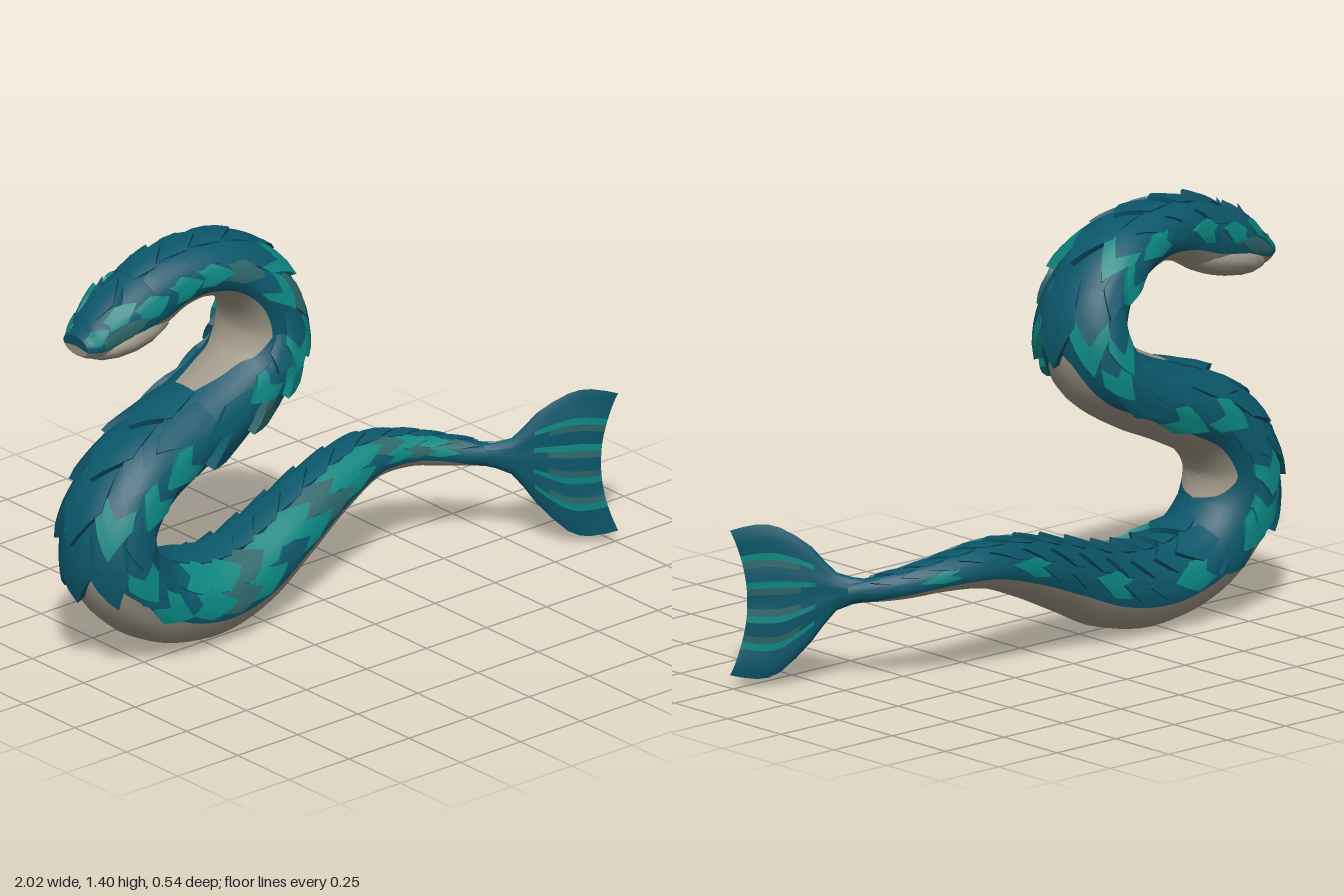
import * as THREE from 'three';
import { toCreasedNormals } from 'three/addons/utils/BufferGeometryUtils.js';

const flat = (name, color) => {
  const m = new THREE.MeshStandardMaterial({ color });
  m.name = name;
  return m;
};
const clamp = THREE.MathUtils.clamp, lerp = THREE.MathUtils.lerp, rad = Math.PI / 180;

// Spine stations from snout to tail: x, y, z, half height, half width
const stations = [
  [-0.99, 1.15, -0.05, 0.035, 0.06], [-0.95, 1.155, -0.05, 0.06, 0.085],
  [-0.85, 1.195, -0.05, 0.092, 0.11], [-0.73, 1.235, -0.05, 0.112, 0.12],
  [-0.62, 1.275, -0.05, 0.102, 0.12], [-0.5, 1.285, -0.05, 0.095, 0.127],
  [-0.36, 1.245, -0.055, 0.103, 0.143], [-0.255, 1.15, -0.055, 0.11, 0.155],
  [-0.215, 1.02, -0.06, 0.115, 0.165], [-0.26, 0.89, -0.06, 0.123, 0.168],
  [-0.39, 0.8, -0.06, 0.128, 0.165], [-0.58, 0.715, -0.06, 0.13, 0.165],
  [-0.75, 0.62, -0.055, 0.133, 0.163], [-0.84, 0.48, -0.055, 0.138, 0.162],
  [-0.82, 0.33, -0.055, 0.142, 0.162], [-0.7, 0.205, -0.055, 0.14, 0.162],
  [-0.5, 0.142, -0.055, 0.138, 0.158], [-0.3, 0.16, -0.065, 0.128, 0.145],
  [-0.1, 0.235, -0.09, 0.112, 0.122], [0.1, 0.31, -0.125, 0.095, 0.102],
  [0.3, 0.36, -0.15, 0.072, 0.085], [0.45, 0.355, -0.125, 0.056, 0.065],
  [0.58, 0.33, -0.065, 0.046, 0.048], [0.71, 0.31, 0.03, 0.035, 0.028],
];
const LAST = stations.length - 1;
const spine = new THREE.CatmullRomCurve3(stations.map(p => new THREE.Vector3(p[0], p[1], p[2])));
const sizes = new THREE.CatmullRomCurve3(stations.map(p => new THREE.Vector3(p[3], p[4], 0)), false, 'catmullrom', 0.5);

// Point on the skin at station s and angle phi, raised by lift times the half height
function skin(s, phi, lift = 0, shrink = 1) {
  const t = clamp(s / LAST, 0, 1);
  const c = spine.getPoint(t), T = spine.getTangent(t), size = sizes.getPoint(t);
  const B = new THREE.Vector3(0, 0, 1).addScaledVector(T, -T.z).normalize();
  const N = new THREE.Vector3().crossVectors(B, T);
  const up = lift * size.x;
  return c.addScaledVector(N, (size.x + up) * Math.cos(phi) * shrink)
    .addScaledVector(B, (size.y + up) * Math.sin(phi) * shrink);
}

// Grid surface from a function of grid indices; keep() picks its cells
function sheet(name, mat, nu, nv, fn, keep = () => true) {
  const P = [], pos = [];
  for (let i = 0; i <= nu; i++) {
    P.push([]);
    for (let j = 0; j <= nv; j++) P[i].push(fn(i, j));
  }
  const tri = (a, b, c) => {
    const n = b.clone().sub(a).cross(c.clone().sub(a));
    if (n.length() > 1e-9) for (const p of [a, b, c]) pos.push(p.x, p.y, p.z);
  };
  for (let i = 0; i < nu; i++) for (let j = 0; j < nv; j++) {
    if (!keep(i, j)) continue;
    tri(P[i][j], P[i][j + 1], P[i + 1][j]);
    tri(P[i][j + 1], P[i + 1][j + 1], P[i + 1][j]);
  }
  const g = new THREE.BufferGeometry();
  g.setAttribute('position', new THREE.Float32BufferAttribute(pos, 3));
  const mesh = new THREE.Mesh(toCreasedNormals(g, 0.6), mat);
  mesh.name = name;
  return mesh;
}

// Half widths of the pale belly bands on the two sides of the spine
const fadeIn = (s, a, len) => Math.sqrt(clamp((s - a) / len, 0, 1));
const fadeOut = (s, b, len) => Math.sqrt(clamp((b - s) / len, 0, 1));
const bandA = s => 54 * rad * fadeIn(s, 8.2, 1.7) * fadeOut(s, 14.1, 1);
const bandB = s => s < 12
  ? (lerp(76, 56, clamp((s - 2) / 3, 0, 1)) - 28 * clamp((s - 8) / 1.5, 0, 1)) * rad * fadeOut(s, 10.9, 1.2)
  : lerp(77, 62, clamp((s - 15) / 7, 0, 1)) * rad * fadeIn(s, 13.3, 1.2) * fadeOut(s, 22.9, 1);

export function createModel() {
  const dark = flat('deep teal', 0x0b566a), bright = flat('bright teal', 0x0b8580);
  const grey = flat('grey teal', 0x2d6568), pale = flat('pale belly', 0xa09888);
  const model = new THREE.Group();
  model.name = 'seaSerpent';

  // Body: four lengthwise strips, two pale bands and two teal flanks
  const body = new THREE.Group();
  body.name = 'body';
  model.add(body);
  const rings = LAST * 5;
  const strip = (name, mat, n, from, to) => body.add(sheet(name, mat, rings + 1, n, (i, j) => {
    const s = Math.max(i - 1, 0) / 5;
    return skin(s, lerp(from(s), to(s), j / n), 0, i ? 1 : 0);
  }));
  strip('middleBelly', pale, 8, s => -bandA(s), bandA);
  strip('leftFlank', dark, 12, bandA, s => Math.PI - bandB(s));
  strip('belly', pale, 8, s => Math.PI - bandB(s), s => Math.PI + bandB(s));
  strip('rightFlank', dark, 12, s => Math.PI + bandB(s), s => 2 * Math.PI - bandA(s));

  // Scales: shield plates that lift toward a tail-facing point, with a deep teal
  // root, a coloured tip and a skirt to the skin
  const scales = new THREE.Group();
  scales.name = 'scales';
  model.add(scales);
  const scale = (name, tip, s0, deg, length, halfDeg, rise, rootRows) => {
    const nu = 8, nv = 8;
    const shape = (i, j) => {
      const r = clamp((i - 1) / (nu - 2), 0, 1), c = clamp((j - 1) / (nv - 2), 0, 1) * 2 - 1;
      const edge = i === 0 || j === 0 || i === nu || j === nv;
      const s = s0 + length * r * (1 - 0.45 * Math.abs(c));
      const phi = (deg + c * halfDeg * (0.7 + 0.3 * r)) * rad;
      return skin(s, phi, edge ? -0.06 : (0.02 + rise * r) * (1 - 0.35 * c * c));
    };
    if (rootRows) scales.add(sheet(name + 'Root', dark, nu, nv, shape, i => i < rootRows));
    scales.add(sheet(name, tip, nu, nv, shape, i => i >= rootRows));
  };
  // Zones of scale rows; each side entry is: angle off the back, half angle, rise,
  // tip colours on the front (+z) side, tip colours on the far side
  const zones = [
    { rows: [2.9, 3.8, 4.6], back: 0, len: 1.15, root: 3, crest: true, sides: [
      [44, 22, 0.14, [dark], [dark]],
      [80, 20, 0.2, [bright, bright, grey], [bright, dark, bright]]] },
    { rows: [5.4, 7.0], back: 0, len: 1.45, root: 5, crest: true, sides: [
      [46, 25, 0.24, [bright], [bright]],
      [88, 20, 0.34, [bright], [bright]]] },
    { rows: [6.3], back: 0, len: 1.2, root: 3, crest: false, sides: [
      [70, 18, 0.2, [grey], [dark]]] },
    { rows: [7.8, 8.7, 9.6], back: 180, len: 1.15, root: 4, crest: false, sides: [
      [76, 20, 0.2, [dark, bright, dark], [dark]],
      [108, 19, 0.28, [bright, grey, dark], [bright, dark, bright]]] },
    { rows: [10.5, 11.3, 12.1, 12.9], back: 180, len: 1.1, root: 4, crest: true, sides: [
      [44, 22, 0.18, [dark, dark, bright, dark], [dark]],
      [84, 22, 0.18, [bright, bright, dark, bright], [bright, dark, bright, bright]]] },
    { rows: [13.6, 14.2], back: 180, len: 1, root: 3, crest: false, sides: [
      [88, 20, 0.14, [dark, bright], [bright, dark]]] },
    { rows: [14.8, 15.4, 16, 16.6, 17.2, 17.8, 18.4, 19, 19.6, 20.2, 20.8, 21.4],
      back: 0, len: 1.05, root: 3, crest: true, sides: [
      [44, 22, 0.2, [bright, bright, grey], [dark]],
      [78, 19, 0.14, [bright, grey, bright, dark], [bright, dark, dark]]] },
  ];
  for (const z of zones) z.rows.forEach((s, row) => {
    if (z.crest) scale('backScale', dark, s, z.back, z.len, 27, 0.22, 0);
    z.sides.forEach(([off, half, rise, front, far], k) => {
      for (const side of [-1, 1]) {
        const deg = z.back + side * off;
        const tips = Math.sin(deg * rad) > 0 ? front : far;
        scale('sideScale', tips[row % tips.length], s + (k ? 0.35 : 0.1), deg, z.len, half, rise, z.root);
      }
    });
  });

  // Head: snout, brow, cheek and ear plates, brow spikes and the lower jaw
  for (const side of [-1, 1]) {
    scale('snoutPlate', bright, 0.2, side * 56, 1.3, 25, 0.08, 1);
    scale('browPlate', bright, 1.4, side * 50, 1, 17, 0.2, 2);
    scale('cheekPlate', grey, 1.1, side * 84, 1.5, 17, 0.08, 0);
    scale('earPlate', bright, 2.2, side * 72, 1.1, 17, 0.16, 2);
    const spike = new THREE.Mesh(new THREE.ConeGeometry(0.024, 0.075, 5), dark);
    spike.name = 'browSpike';
    spike.position.set(-0.85, 1.295, -0.05 + side * 0.05);
    spike.rotation.z = -0.35;
    model.add(spike);
  }
  scale('foreheadPlate', dark, 1.2, 0, 1.4, 28, 0.12, 0);
  const jaw = new THREE.Mesh(new THREE.SphereGeometry(1, 14, 10), pale);
  jaw.name = 'lowerJaw';
  jaw.scale.set(0.185, 0.066, 0.122);
  jaw.position.set(-0.795, 1.16, -0.05);
  jaw.rotation.z = 0.22;
  model.add(jaw);

  // Tail fin: two rippled faces that meet at the rim, with coloured rays
  const fin = new THREE.Group();
  fin.name = 'tailFin';
  model.add(fin);
  const v2 = (x, y) => new THREE.Vector2(x, y);
  const topEdge = new THREE.SplineCurve([v2(0.66, 0.355), v2(0.73, 0.375), v2(0.79, 0.46), v2(0.87, 0.525), v2(0.93, 0.538), v2(1, 0.52)]);
  const lowEdge = new THREE.SplineCurve([v2(0.66, 0.28), v2(0.73, 0.25), v2(0.79, 0.15), v2(0.87, 0.05), v2(0.93, 0.03), v2(1, 0.045)]);
  const NU = 10, NV = 22;
  const finPoint = face => (i, j) => {
    const u = i / NU, a = face * (1 - 2 * j / NV);
    const hi = topEdge.getPoint(u), lo = lowEdge.getPoint(u);
    const x = hi.x - 0.045 * u * u * (1 - a * a);
    const mid = -0.01 + 0.275 * Math.pow((x - 0.66) / 0.34, 0.85);
    const thick = 0.028 * Math.sqrt(Math.max(0, (1 - u) * (1 - a * a))) + 0.002 * (1 - u);
    const off = face * thick + 0.003 * u * Math.cos(a * 11);
    return new THREE.Vector3(x - 0.6 * off, lerp(lo.y, hi.y, (a + 1) / 2), mid + 0.8 * off);
  };
  const ray = (i, j) => {
    if (i < 4) return dark;
    if ([4, 8, 13, 17].includes(j)) return bright;
    return [5, 9, 12, 16].includes(j) && i > 4 ? grey : dark;
  };
  for (const face of [1, -1])
    for (const [name, mat] of [['finWeb', dark], ['finRay', bright], ['finShade', grey]])
      fin.add(sheet(name, mat, NU, NV, finPoint(face), (i, j) => ray(i, j) === mat));

  return model;
}
